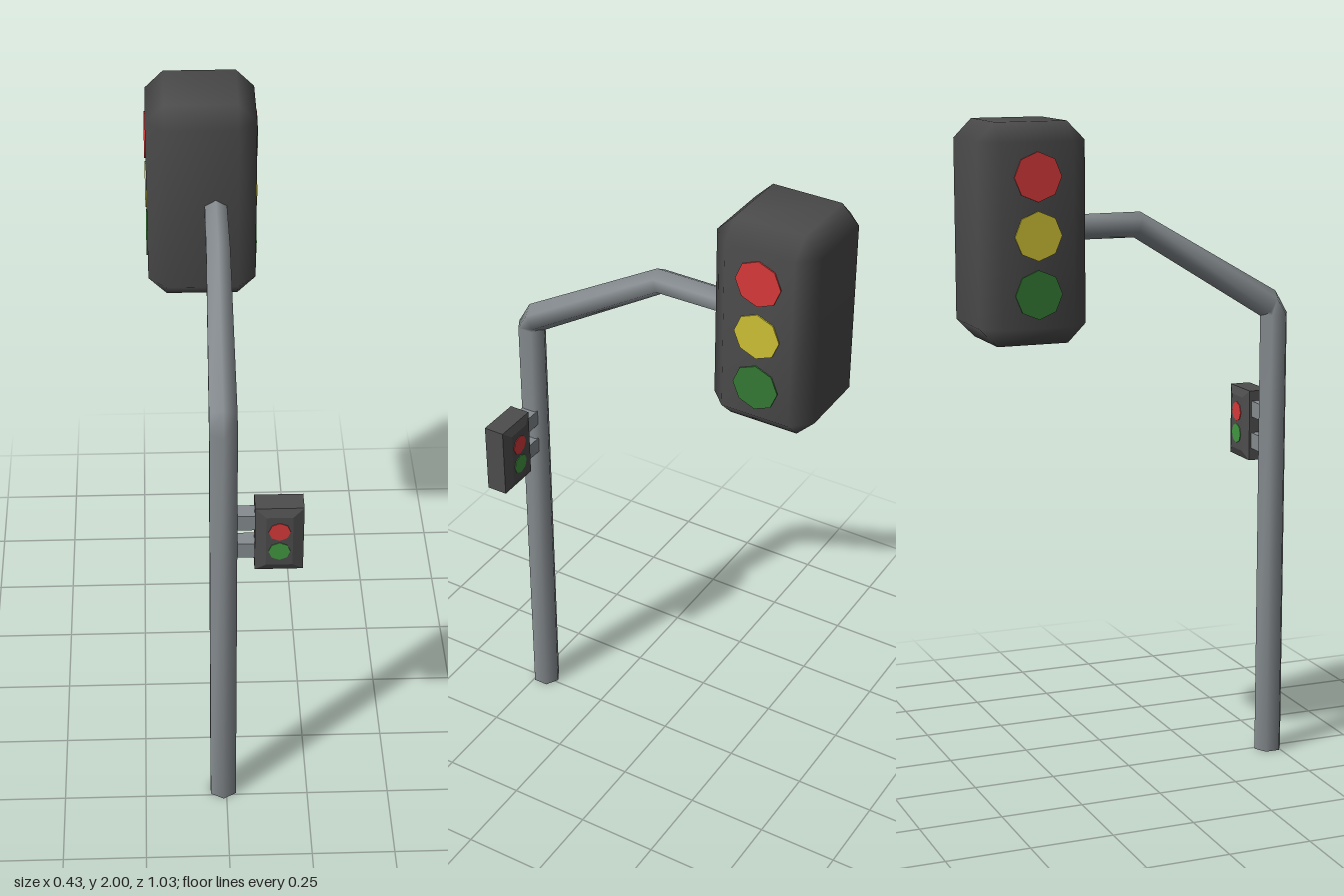
import * as THREE from 'three';
import { mergeVertices } from 'three/addons/utils/BufferGeometryUtils.js';
import { ConvexGeometry } from 'three/addons/geometries/ConvexGeometry.js';

const mat = (name, color, extra = {}) => {
  const m = new THREE.MeshStandardMaterial({ color, ...extra });
  m.name = name;
  return m;
};

// Every sign combination of a corner point
function mirrored(x, y, z) {
  const pts = [];
  for (const a of [1, -1]) for (const b of [1, -1]) for (const c of [1, -1]) pts.push(new THREE.Vector3(a * x, b * y, c * z));
  return pts;
}

// Box with every edge cut once and softly blended normals
function bevelledBox(hx, hy, hz, b) {
  const g = new ConvexGeometry([
    ...mirrored(hx, hy - b, hz - b),
    ...mirrored(hx - b, hy, hz - b),
    ...mirrored(hx - b, hy - b, hz),
  ]);
  g.deleteAttribute('normal');
  const smooth = mergeVertices(g, 1e-4);
  smooth.computeVertexNormals();
  return smooth;
}

// Six-sided pipe through rings [y, z, radius, tilt, stretch]; tilt leans the ring back from upright
function pipe(rings, sides = 6) {
  const pos = [], idx = [];
  for (const [y, z, r, tilt, stretch] of rings) {
    for (let i = 0; i < sides; i++) {
      const a = (i / sides) * Math.PI * 2;
      const u = Math.cos(a) * r * stretch;
      pos.push(Math.sin(a) * r, y + u * Math.sin(tilt), z + u * Math.cos(tilt));
    }
  }
  for (let k = 0; k < rings.length - 1; k++) {
    for (let i = 0; i < sides; i++) {
      const j = (i + 1) % sides;
      const a = k * sides + i, b = k * sides + j, c = a + sides, d = b + sides;
      idx.push(a, b, d, a, d, c);
    }
  }
  const g = new THREE.BufferGeometry();
  g.setAttribute('position', new THREE.Float32BufferAttribute(pos, 3));
  g.setIndex(idx);
  g.computeVertexNormals();
  return g;
}

export function createModel() {
  const model = new THREE.Group();
  model.name = 'trafficLight';
  const poleGrey = mat('poleGrey', 0x868c90);
  const housing = mat('housingCharcoal', 0x4b4b4b);
  const boxGrey = mat('signalBoxCharcoal', 0x4d4d4d, { flatShading: true });
  const red = mat('red', 0xd83a3a);
  const yellow = mat('yellow', 0xcfc035);
  const green = mat('green', 0x357a35);
  const walkGreen = mat('walkGreen', 0x429842);

  const add = (name, geometry, material, x = 0, y = 0, z = 0) => {
    const m = new THREE.Mesh(geometry, material);
    m.name = name;
    m.position.set(x, y, z);
    model.add(m);
    return m;
  };

  // Upright, sloping arm and level end in one bent pipe
  const px = -0.01;
  const deg = Math.PI / 180;
  add('poleAndArm', pipe([
    [0, 0.472, 0.045, 0, 1],
    [1.395, 0.472, 0.045, 0, 1],
    [1.425, 0.455, 0.045, 60 * deg, 1],
    [1.683, 0.022, 0.039, 75 * deg, 1.0],
    [1.683, -0.23, 0.037, 90 * deg, 1],
  ]), poleGrey, px);
  const base = add('poleBase', new THREE.CircleGeometry(0.045, 6, Math.PI / 2), poleGrey, px, 0, 0.472);
  base.rotation.x = Math.PI / 2;

  // Main signal housing with lamps on both sides
  const hx = -0.05, hy = 1.685, hz = -0.357;
  add('signalHousing', bevelledBox(0.16, 0.315, 0.16, 0.054), housing, hx, hy, hz);
  const lamp = new THREE.CylinderGeometry(0.07, 0.07, 0.008, 8).rotateZ(Math.PI / 2);
  for (const side of [1, -1]) {
    [['redLamp', red, 1.85], ['yellowLamp', yellow, 1.685], ['greenLamp', green, 1.52]].forEach(
      ([name, m, y]) => add(name, lamp, m, hx + side * 0.16, y, hz));
  }

  // Pedestrian signal with inset faces front and back
  const bx = 0.147, by = 1.03, bz = 0.469;
  add('pedestrianSignal', new ConvexGeometry([
    ...mirrored(0.069, 0.11, 0.032),
    ...mirrored(0.038, 0.085, 0.043),
  ]), boxGrey, bx, by, bz);
  const smallLamp = new THREE.CylinderGeometry(0.031, 0.031, 0.004, 8).rotateX(Math.PI / 2);
  for (const side of [1, -1]) {
    add('stopLamp', smallLamp, red, bx, 1.065, bz + side * 0.043);
    add('walkLamp', smallLamp, walkGreen, bx, 0.995, bz + side * 0.043);
  }

  // Brackets joining the pedestrian signal to the pole
  for (const y of [0.983, 1.083]) {
    add('bracket', new THREE.BoxGeometry(0.085, 0.05, 0.05), poleGrey, 0.0425, y, bz);
  }
  return model;
}
